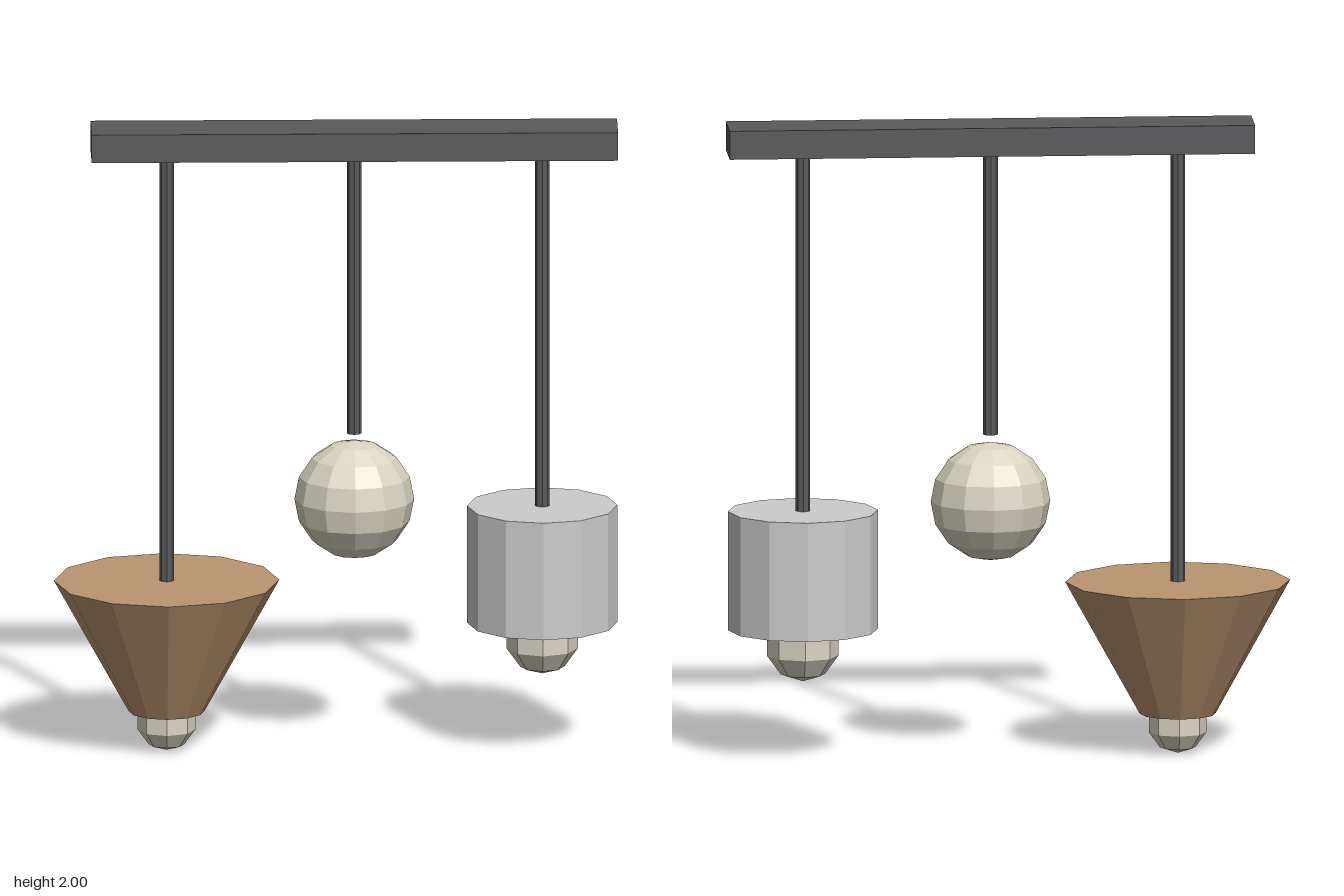
import * as THREE from 'three';

const material = (color) => new THREE.MeshStandardMaterial({ color, flatShading: true });

export function createModel() {
  const model = new THREE.Group();
  const dark = material(0x5a5a5c);
  const copper = material(0xba9470);
  const grey = material(0xcccccc);
  const glass = material(0xd9d4c0);

  const add = (parent, name, geometry, mat, y) => {
    const mesh = new THREE.Mesh(geometry, mat);
    mesh.name = name;
    mesh.position.y = y;
    parent.add(mesh);
    return mesh;
  };

  // Ceiling bar
  const barBottom = 1.91;
  const bar = add(model, 'ceilingBar', new THREE.BoxGeometry(1.644, 0.09, 0.188), dark, 1.955);
  bar.position.x = 0.056;

  // A hanging rod, in a group that also holds its lamp
  const pendant = (name, x, rodBottom) => {
    const group = new THREE.Group();
    group.name = name;
    group.position.x = x;
    const length = barBottom - rodBottom;
    add(group, 'rod', new THREE.CylinderGeometry(0.023, 0.023, length, 8), dark, rodBottom + length / 2);
    model.add(group);
    return group;
  };

  // Closed shade between two heights
  const shade = (parent, rTop, rBottom, y0, y1, mat) =>
    add(parent, 'shade', new THREE.CylinderGeometry(rTop, rBottom, y1 - y0, 12), mat, (y0 + y1) / 2);

  const bulb = (parent, radius, y) =>
    add(parent, 'bulb', new THREE.SphereGeometry(radius, 8, 5), glass, y);

  // Tapered shade
  const cone = pendant('conePendant', -0.53, 0.54);
  shade(cone, 0.352, 0.119, 0.125, 0.545, copper);
  bulb(cone, 0.095, 0.095);

  // Globe, hanging just clear of its rod
  const globe = pendant('globePendant', 0.056, 1.015);
  add(globe, 'globe', new THREE.SphereGeometry(0.187, 12, 8), glass, 0.804);

  // Drum shade
  const drum = pendant('drumPendant', 0.643, 0.775);
  shade(drum, 0.235, 0.235, 0.404, 0.78, grey);
  bulb(drum, 0.118, 0.358);

  return model;
}
